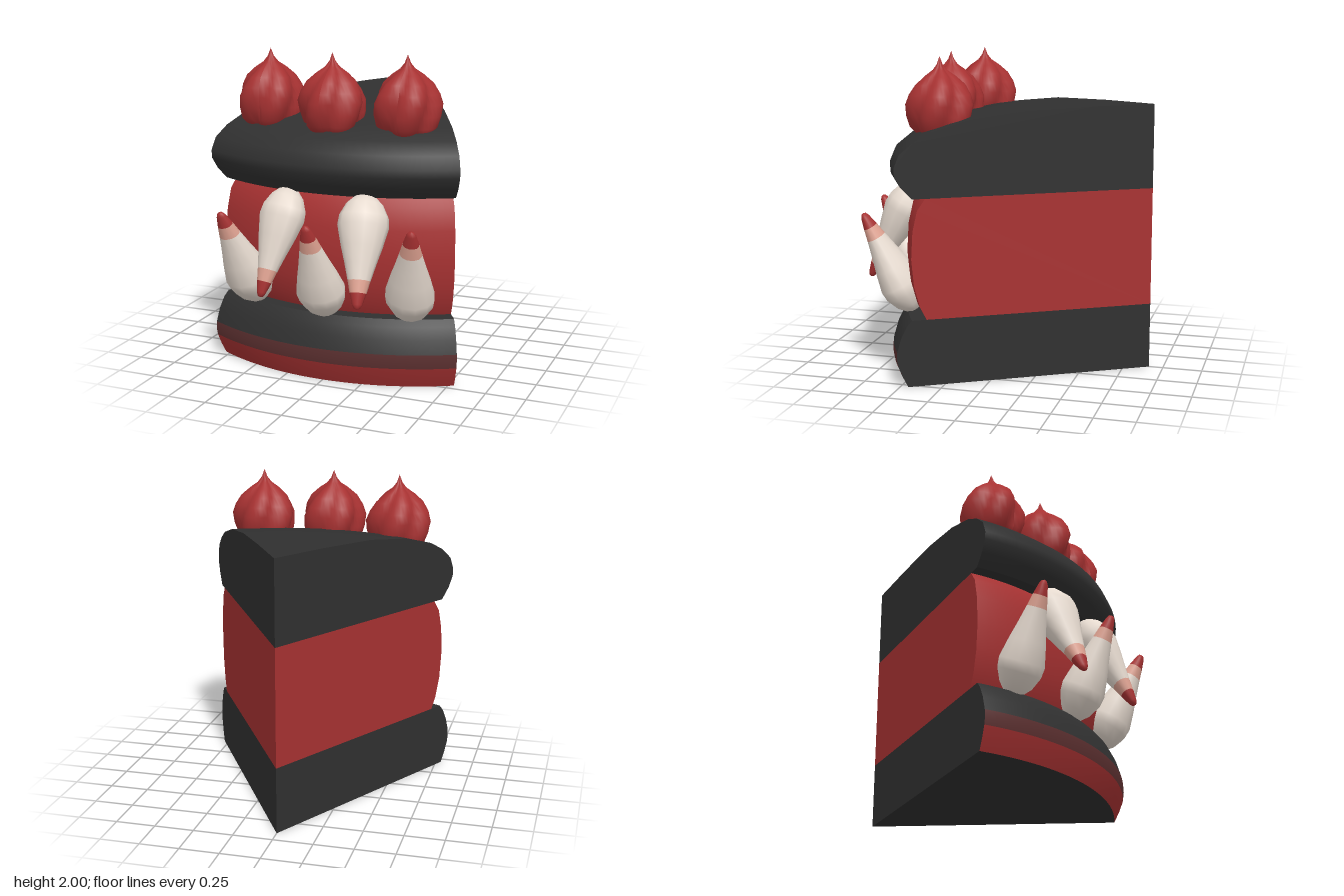
import * as THREE from 'three';

const mat = (name, color) => {
  const m = new THREE.MeshStandardMaterial({ color, side: THREE.DoubleSide });
  m.name = name;
  return m;
};
const V2 = (list) => list.map(([x, y]) => new THREE.Vector2(x, y));

export function createModel() {
  const red = mat('red', 0xa83232);
  const black = mat('black', 0x303030);
  const maroon = mat('maroon', 0x5c3030);
  const salmon = mat('salmon', 0xe0a392);
  const ivory = mat('ivory', 0xe8dcd1);

  const model = new THREE.Group();
  model.name = 'cakeSlice';
  const add = (parent, name, geometry, material) => {
    const mesh = new THREE.Mesh(geometry, material);
    mesh.name = name;
    parent.add(mesh);
    return mesh;
  };

  // Wedge layers: a 60 degree sector whose apex sits at the back
  const HALF = Math.PI / 6;
  const APEX = -0.91;
  const sector = (pts) => new THREE.LatheGeometry(V2(pts), 24, -HALF, HALF * 2);

  function layer(name, bands, cutMaterial, domed) {
    const g = new THREE.Group();
    g.name = name;
    g.position.z = APEX;
    model.add(g);
    const rim = bands.flatMap((b, i) => (i ? b.pts.slice(1) : b.pts));
    const first = rim[0], last = rim[rim.length - 1];
    bands.forEach((b, i) => add(g, name + 'Rim' + i, sector(b.pts), b.material));
    add(g, name + 'Underside', sector([[0, first[1]], first]), cutMaterial);
    if (!domed) add(g, name + 'Top', sector([last, [0, last[1]]]), cutMaterial);
    // flat cut faces on both sides
    const outline = V2([[0, first[1]], ...rim, ...(domed ? [] : [[0, last[1]]])]);
    for (const s of [-1, 1]) {
      const cut = add(g, name + (s > 0 ? 'LeftCut' : 'RightCut'),
        new THREE.ShapeGeometry(new THREE.Shape(outline)), cutMaterial);
      cut.rotation.y = s * HALF - Math.PI / 2;
    }
  }

  layer('bottomSponge', [
    { material: red, pts: [[1.57, 0], [1.605, 0.07], [1.63, 0.135]] },
    { material: maroon, pts: [[1.63, 0.135], [1.638, 0.18], [1.635, 0.225]] },
    { material: black, pts: [[1.635, 0.225], [1.61, 0.31], [1.575, 0.38], [1.54, 0.42]] },
  ], black, false);

  layer('filling', [
    { material: red, pts: [[1.45, 0.42], [1.49, 0.5], [1.525, 0.63], [1.54, 0.8], [1.53, 0.97], [1.5, 1.1], [1.45, 1.17]] },
  ], red, false);

  layer('topSponge', [
    { material: black, pts: [[1.53, 1.17], [1.595, 1.24], [1.635, 1.31], [1.638, 1.36], [1.605, 1.44], [1.52, 1.51],
      [1.4, 1.57], [1.17, 1.635], [0.82, 1.68], [0.4, 1.695], [0, 1.70]] },
  ], black, true);

  // Teeth: teardrop lathe running from root to tip, with stained ends
  const toothParts = [
    ['toothBody', ivory, [[0, 0], [0.06, 0.0], [0.11, 0.07], [0.148, 0.18], [0.155, 0.27], [0.125, 0.45], [0.095, 0.6], [0.068, 0.75]]],
    ['toothStain', salmon, [[0.068, 0.75], [0.05, 0.86]]],
    ['toothTip', red, [[0.05, 0.86], [0.03, 0.96], [0.018, 0.99], [0, 1]]],
  ];
  function tooth(name, root, tip) {
    const a = new THREE.Vector3(...root);
    const axis = new THREE.Vector3(...tip).sub(a);
    const length = axis.length();
    const g = new THREE.Group();
    g.name = name;
    g.position.copy(a);
    g.quaternion.setFromUnitVectors(new THREE.Vector3(0, 1, 0), axis.normalize());
    g.scale.z = 0.85;
    for (const [part, material, pts] of toothParts) {
      add(g, part, new THREE.LatheGeometry(V2(pts.map(([r, t]) => [r, t * length])), 12), material);
    }
    model.add(g);
  }
  tooth('lowerMiddleTooth', [0, 0.43, 0.6], [0, 1.04, 0.9]);
  for (const s of [-1, 1]) {
    const side = s > 0 ? 'Left' : 'Right';
    tooth('lower' + side + 'Tooth', [s * 0.51, 0.43, 0.5], [s * 0.62, 1.04, 0.79]);
    tooth('upper' + side + 'Tooth', [s * 0.25, 1.17, 0.57], [s * 0.315, 0.56, 0.87]);
  }

  // Piped swirls: lathe with five lobes twisted upward
  function swirl(name, x, z, turn) {
    const profile = [[0, 0], [0.14, 0.005], [0.18, 0.05], [0.198, 0.12], [0.205, 0.19], [0.185, 0.25], [0.15, 0.31],
      [0.095, 0.36], [0.045, 0.395], [0.018, 0.43], [0, 0.48]];
    const geo = new THREE.LatheGeometry(V2(profile), 50);
    const p = geo.attributes.position;
    for (let i = 0; i < p.count; i++) {
      const px = p.getX(i), y = p.getY(i), pz = p.getZ(i);
      const angle = Math.atan2(px, pz);
      const lobe = Math.abs(Math.cos(2.5 * (angle - turn - y * 2.2)));
      const k = 0.78 + 0.27 * Math.pow(lobe, 0.8);
      p.setXYZ(i, px * k, y, pz * k);
    }
    geo.computeVertexNormals();
    add(model, name, geo, red).position.set(x, 1.52, z);
  }
  swirl('rightSwirl', -0.48, 0.33, 0.3);
  swirl('middleSwirl', -0.025, 0.42, -0.5);
  swirl('leftSwirl', 0.43, 0.345, 0.1);

  return model;
}
